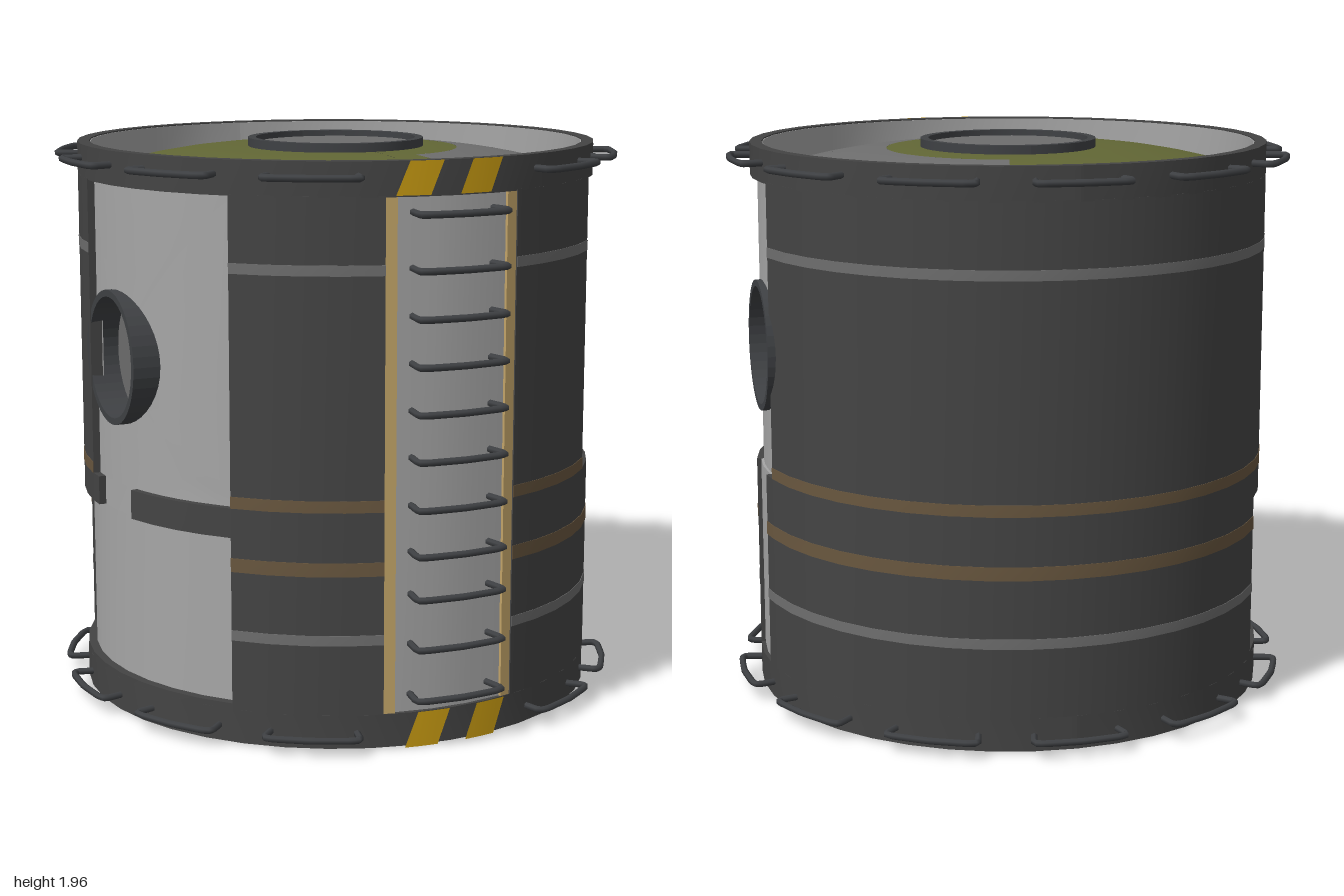
import * as THREE from 'three';

const H = 1.95, R = 0.91, RI = 0.865, LOW = 0.12, HIGH = 1.84;
const rad = THREE.MathUtils.degToRad;

function paint(name, color) {
  return new THREE.MeshStandardMaterial({ name, color, side: THREE.DoubleSide });
}

export function createModel() {
  const model = new THREE.Group();
  const dark = paint('dark hull', 0x444444), light = paint('light panel', 0xa6a6a6);
  const grey = paint('mid grey', 0x6e6e6e), olive = paint('olive', 0x626735);
  const yellow = paint('hazard yellow', 0xc79a12), tan = paint('tan trim', 0xc2a468);
  const brown = paint('brown stripe', 0x69573f), metal = paint('dark metal', 0x3f4144);

  function add(name, geo, mat, parent = model) {
    const mesh = new THREE.Mesh(geo, mat);
    mesh.name = name;
    parent.add(mesh);
    return mesh;
  }

  // Moves every vertex by a rule and refreshes the normals
  function bend(geo, rule) {
    const p = geo.attributes.position;
    for (let i = 0; i < p.count; i++) p.setXYZ(i, ...rule(p.getX(i), p.getY(i), p.getZ(i)));
    geo.computeVertexNormals();
    return geo;
  }

  // Curved box between two radii, two angles (degrees from the front) and two heights
  function arcBlock(r0, r1, a0, a1, y0, y1) {
    const geo = new THREE.BoxGeometry(1, 1, 1, Math.max(1, Math.ceil((a1 - a0) / 9)), 1, 1);
    return bend(geo, (x, y, z) => {
      const a = rad(a0 + (x + 0.5) * (a1 - a0)), r = r0 + (z + 0.5) * (r1 - r0);
      return [r * Math.sin(a), y0 + (y + 0.5) * (y1 - y0), r * Math.cos(a)];
    });
  }

  // Hull wall blocks: [from angle, to angle, bottom, top]
  const walls = [
    [15.3, 47.6, LOW, HIGH], [-47.6, -15.3, LOW, HIGH], [101.4, 238, LOW, HIGH],
    [-122, -93.8, 0.71, HIGH],
    [-93.8, -90, 0.71, 0.81], [-75, -47.6, 0.71, 0.81],
    [47.6, 81.7, LOW, 0.81], [97, 101.4, LOW, 0.81],
  ];
  const stripes = [
    [1.585, 1.62, grey], [0.81, 0.85, brown], [0.595, 0.642, brown], [0.36, 0.395, grey],
  ];
  for (const [a0, a1, y0, y1] of walls) {
    add('hullWall', arcBlock(RI + 0.004, R, a0, a1, y0, y1), dark);
    add('innerLining', arcBlock(RI, RI + 0.003, a0, a1, y0, y1), light);
    for (const [s0, s1, mat] of stripes) {
      if (s0 >= y0 && s1 <= y1) add('hullStripe', arcBlock(R, R + 0.002, a0, a1, s0, s1), mat);
    }
  }

  // Recessed plain panels
  add('lowerLeftPanel', arcBlock(0.872, 0.88, -122, -47.6, LOW, 0.71), light);
  add('lowerLeftLedge', arcBlock(0.872, R, -122, -47.6, LOW, 0.14), dark);
  add('leftConnector', arcBlock(0.875, 0.885, -90, -75, 0.71, 0.81), light);
  add('rightConnector', arcBlock(0.875, 0.895, 81.7, 97, LOW, 0.81), light);

  // Curved side panel with a round hole, laid out in z and y
  function holedPanel(side, z0, z1, y0, y1, cz, cy, hole) {
    const r = 0.885, angles = [];
    for (let i = 0; i < 64; i++) angles.push(-Math.PI + (i * Math.PI) / 32);
    for (const z of [z0, z1]) for (const y of [y0, y1]) angles.push(Math.atan2(y - cy, z - cz));
    angles.sort((a, b) => a - b);
    angles.push(angles[0] + 2 * Math.PI);
    const n = angles.length - 1;
    return bend(new THREE.PlaneGeometry(1, 1, n, 4), (x, y) => {
      const a = angles[Math.round((x + 0.5) * n)], t = y + 0.5;
      const c = Math.cos(a), s = Math.sin(a);
      const reach = Math.min(
        Math.abs(((c > 0 ? z1 : z0) - cz) / (c || 1e-9)),
        Math.abs(((s > 0 ? y1 : y0) - cy) / (s || 1e-9)));
      const d = Math.min(hole, reach) * (1 - t) + reach * t;
      const z = cz + c * d;
      return [side * Math.sqrt(r * r - z * z), cy + s * d, z];
    });
  }

  // Side windows with their short tubular frames
  for (const [name, side, z0, cz] of [['right', 1, -0.18, 0], ['left', -1, -0.06, 0.125]]) {
    add(name + 'WindowPanel', holedPanel(side, z0, 0.597, 0.81, HIGH, cz, 1.25, 0.215), light);
    const profile = [[0.207, 0.8], [0.207, 0.905], [0.23, 0.905], [0.23, 0.8], [0.207, 0.8]];
    const frame = add(name + 'WindowFrame', new THREE.LatheGeometry(
      profile.map(p => new THREE.Vector2(...p)), 40).toNonIndexed(), metal);
    frame.geometry.computeVertexNormals();
    frame.rotation.z = -side * Math.PI / 2;
    frame.position.set(0, 1.25, cz);
  }

  // Ladder recess
  add('ladderPanel', arcBlock(0.87, 0.895, -12.8, 12.8, LOW, HIGH), light);
  for (const s of [-1, 1]) {
    add('ladderTrim', arcBlock(0.87, 0.905, Math.min(s * 12.8, s * 15.3), Math.max(s * 12.8, s * 15.3), LOW, HIGH), tan);
  }

  // Bent bar used for both rungs and grab handles
  function bar(foot, width, out) {
    const pts = [[-foot, 0.88], [-width, out - 0.025], [-width * 0.8, out - 0.01], [0, out],
      [width * 0.8, out - 0.01], [width, out - 0.025], [foot, 0.88]];
    const path = new THREE.CatmullRomCurve3(
      pts.map(([x, z]) => new THREE.Vector3(x, 0, z)), false, 'catmullrom', 0.15);
    return new THREE.TubeGeometry(path, 28, 0.012, 6);
  }
  const rung = bar(0.145, 0.16, 0.988);
  for (const y of [0.18, 0.355, 0.525, 0.67, 0.825, 0.985, 1.14, 1.295, 1.45, 1.605, 1.785]) {
    add('ladderRung', rung, metal).position.y = y;
  }

  // Grab handles around both rims, leaving the ladder clear
  const handle = bar(0.14, 0.16, 0.983);
  for (const y of [0.058, 1.903]) {
    for (let k = 1; k < 12; k++) {
      const h = add('grabHandle', handle, metal);
      h.position.y = y;
      h.rotation.y = rad(k * 30);
    }
  }

  // Slanted hazard marks above and below the ladder
  for (const [x0, y0, y1] of [[-0.21, HIGH, H], [0.01, HIGH, H], [-0.17, 0, LOW], [0.05, 0, LOW]]) {
    add('hazardMark', bend(new THREE.PlaneGeometry(1, 1, 6, 1), (u, v) => {
      const x = x0 + (u + 0.5) * 0.115 + (v + 0.5) * 0.045;
      return [x, y0 + (v + 0.5) * (y1 - y0), Math.sqrt(0.914 ** 2 - x * x)];
    }), yellow);
  }

  // End cap: rim, shallow dome in two colours and a round hatch
  function endCap(name) {
    const cap = new THREE.Group();
    cap.name = name;
    add('rim', arcBlock(RI + 0.004, R, -180, 180, HIGH - 0.005, H), dark, cap);
    add('rimLining', arcBlock(RI, RI + 0.003, -180, 180, HIGH - 0.02, H - 0.004), light, cap);
    const domeY = r => 1.835 + 0.09 * (1 - ((r - 0.3) / 0.57) ** 2);
    const sector = (part, r0, r1, a0, a1, mat) => {
      const pts = [];
      for (let i = 0; i <= 6; i++) {
        const r = r1 + (r0 - r1) * i / 6;
        pts.push(new THREE.Vector2(r, domeY(r)));
      }
      const geo = new THREE.LatheGeometry(pts, Math.ceil((a1 - a0) / 7.5), rad(a0), rad(a1 - a0));
      add(part, geo, mat, cap);
    };
    sector('paintedHalf', 0.29, 0.868, 180, 360, olive);
    sector('paintedCollar', 0.29, 0.43, 0, 180, olive);
    sector('paintedTab', 0.43, 0.635, 0, 14, olive);
    sector('paintedTab', 0.43, 0.635, 166, 180, olive);
    sector('bareInner', 0.43, 0.635, 14, 166, grey);
    sector('bareOuter', 0.635, 0.868, 0, 180, grey);
    add('hatchRing', arcBlock(0.282, 0.31, -180, 180, 1.9, 1.955), metal, cap);
    const lid = add('hatchLid', new THREE.CircleGeometry(0.285, 40), grey, cap);
    lid.rotation.x = -Math.PI / 2;
    lid.position.y = 1.935;
    model.add(cap);
    return cap;
  }
  endCap('topCap');
  const bottom = endCap('bottomCap');
  bottom.scale.y = -1;
  bottom.position.y = H + 0.005;

  // Stored tanks glimpsed through the windows
  for (const [x, y, z] of [[0.45, 1.6, 0.46], [0.2, 1.62, 0.5], [0.42, 0.9, 0.48]]) {
    add('storedTank', new THREE.SphereGeometry(0.14, 20, 14), light).position.set(x, y, z);
  }
  return model;
}
